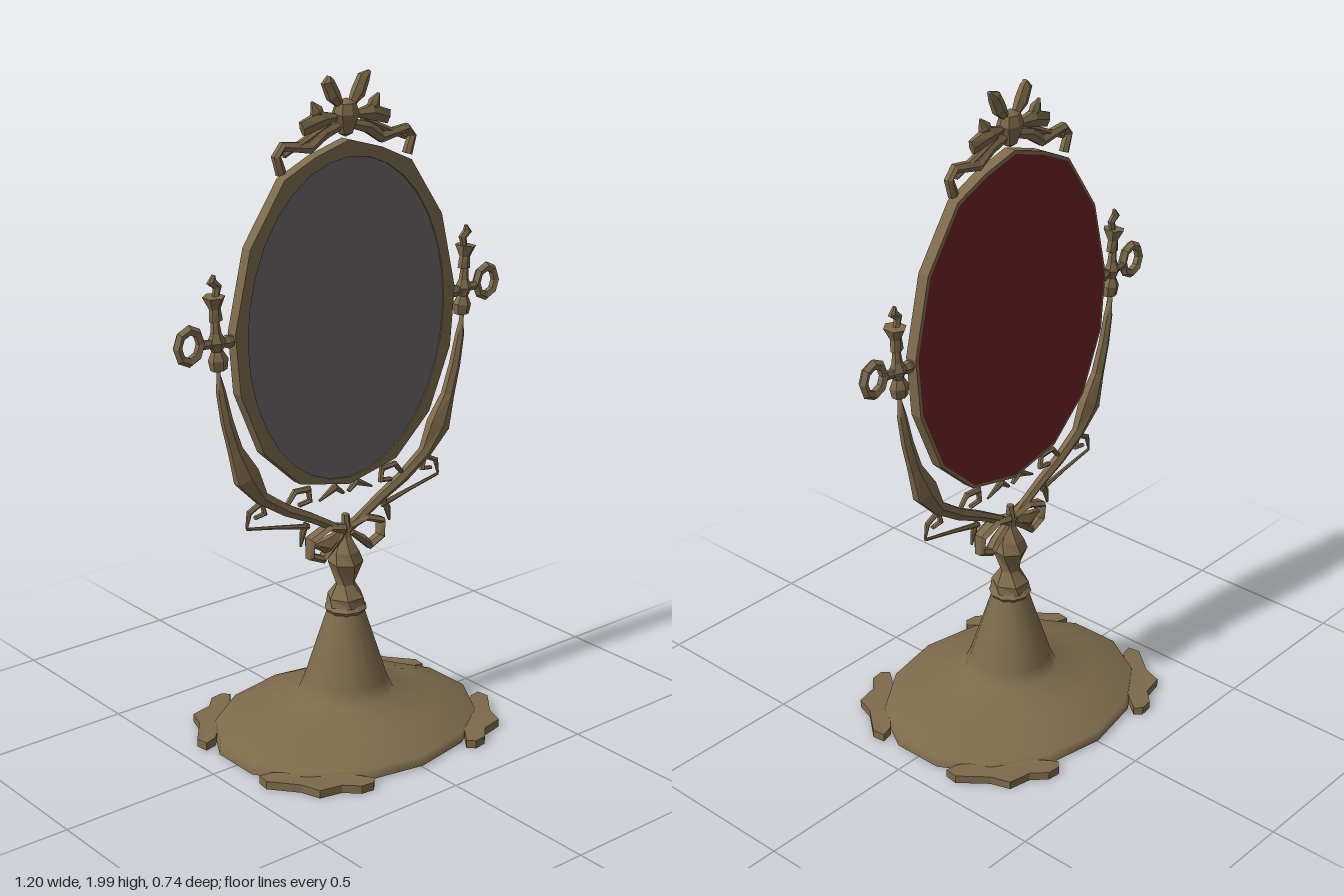
import * as THREE from 'three';

const bronze = new THREE.MeshStandardMaterial({ color: 0x7d6a4b });
bronze.name = 'aged bronze';
const bronzeOpen = new THREE.MeshStandardMaterial({ color: 0x7d6a4b, side: THREE.DoubleSide });
bronzeOpen.name = 'aged bronze';
const glass = new THREE.MeshStandardMaterial({ color: 0x686564 });
glass.name = 'grey glass';
const red = new THREE.MeshStandardMaterial({ color: 0x6a2224 });
red.name = 'dark red backing';

function add(parent, name, geometry, material = bronze) {
  const mesh = new THREE.Mesh(geometry, material);
  mesh.name = name;
  parent.add(mesh);
  return mesh;
}

function flat(geometry) {
  const g = geometry.index ? geometry.toNonIndexed() : geometry;
  g.computeVertexNormals();
  return g;
}

// Faceted bar along a path in the xy plane; each point is [x, y, half width, half depth]
function strip(parent, name, side, points, smooth = 0) {
  let pts = points.map(([x, y, w, d]) => [x * side, y, w, d]);
  if (smooth) {
    const path = new THREE.CatmullRomCurve3(pts.map(p => new THREE.Vector3(p[0], p[1], 0)));
    const size = new THREE.CatmullRomCurve3(pts.map(p => new THREE.Vector3(p[2], p[3], 0)));
    pts = Array.from({ length: smooth + 1 }, (_, i) => {
      const p = path.getPoint(i / smooth), s = size.getPoint(i / smooth);
      return [p.x, p.y, s.x, s.y];
    });
  }
  const pos = [], index = [], n = pts.length;
  pts.forEach(([x, y, w, d], i) => {
    const a = pts[Math.max(i - 1, 0)], b = pts[Math.min(i + 1, n - 1)];
    const t = new THREE.Vector2(b[0] - a[0], b[1] - a[1]).normalize();
    for (const [u, v] of [[1, -0.5], [1, 0.5], [0, 1], [-1, 0.5], [-1, -0.5], [0, -1]])
      pos.push(x - t.y * w * u, y + t.x * w * u, d * v);
    if (i) for (let j = 0; j < 6; j++) {
      const k = (j + 1) % 6, p = (i - 1) * 6, q = i * 6;
      index.push(p + j, p + k, q + k, p + j, q + k, q + j);
    }
  });
  for (let j = 1; j < 5; j++) {
    const e = (n - 1) * 6;
    index.push(0, j + 1, j, e, e + j, e + j + 1);
  }
  const g = new THREE.BufferGeometry();
  g.setAttribute('position', new THREE.Float32BufferAttribute(pos, 3));
  g.setIndex(index);
  return add(parent, name, flat(g));
}

const lathe = (profile, sides) =>
  new THREE.LatheGeometry(profile.map(p => new THREE.Vector2(...p)), sides);

function buildBase(root) {
  const base = new THREE.Group();
  base.name = 'base';
  root.add(base);

  // Hollow flared foot: oval at the rim, round at the neck
  const shell = lathe([[0.43, 0.015], [0.425, 0.045], [0.28, 0.094], [0.145, 0.135],
    [0.125, 0.18], [0.055, 0.4]], 14);
  const p = shell.attributes.position;
  for (let i = 0; i < p.count; i++) {
    const r = Math.hypot(p.getX(i), p.getZ(i));
    p.setZ(i, p.getZ(i) * THREE.MathUtils.mapLinear(THREE.MathUtils.clamp(r, 0.14, 0.42), 0.14, 0.42, 1, 0.83));
  }
  add(base, 'flaredFoot', shell, bronzeOpen);

  // Four leaf shaped feet on the diagonals
  const leaf = [[0.18, 0.35], [0.2, 0.37], [0.24, 0.365], [0.28, 0.325], [0.35, 0.31], [0.37, 0.25],
    [0.435, 0.17], [0.43, 0.13], [0.39, 0.14], [0.33, 0.2], [0.25, 0.26], [0.21, 0.31]];
  for (const sx of [-1, 1]) for (const sz of [-1, 1]) {
    const shape = new THREE.Shape(leaf.map(([x, z]) => new THREE.Vector2(x * sx, z * sz)));
    const g = new THREE.ExtrudeGeometry(shape, { depth: 0.03, bevelEnabled: false });
    g.rotateX(Math.PI / 2).translate(0, 0.04, 0);
    // Lift the inner edge to follow the slope of the foot
    const q = g.attributes.position;
    for (let i = 0; i < q.count; i++)
      if (q.getY(i) > 0.03)
        q.setY(i, 0.035 + 0.12 * Math.max(0, 0.44 - Math.hypot(q.getX(i), q.getZ(i) * 1.2)));
    add(base, 'leafFoot', flat(g));
  }

  // Twisted baluster stem
  add(base, 'collar', flat(lathe([[0, 0.39], [0.055, 0.39], [0.065, 0.405], [0.05, 0.42], [0, 0.42]], 10)));
  const stem = lathe([[0.06, 0.415], [0.058, 0.44], [0.03, 0.48], [0.053, 0.55], [0.042, 0.585],
    [0.018, 0.63], [0.012, 0.7], [0, 0.7]], 6);
  const s = stem.attributes.position;
  for (let i = 0; i < s.count; i++) {
    const a = s.getY(i) * 6, x = s.getX(i), z = s.getZ(i);
    s.setX(i, x * Math.cos(a) - z * Math.sin(a));
    s.setZ(i, x * Math.sin(a) + z * Math.cos(a));
  }
  add(base, 'stem', flat(stem));
}

function buildMirror(root) {
  const mirror = new THREE.Group();
  mirror.name = 'mirror';
  root.add(mirror);
  const half = [[0.12, 1.785], [0.23, 1.735], [0.35, 1.56], [0.405, 1.33], [0.39, 1.15],
    [0.31, 0.96], [0.18, 0.84]];
  const outline = [[0, 1.82], ...half, [0, 0.8], ...half.map(([x, y]) => [-x, y]).reverse()]
    .map(p => new THREE.Vector2(...p));
  const oval = path => path.absellipse(0, 1.297, 0.362, 0.475, 0, Math.PI * 2);

  const rim = new THREE.Shape(outline);
  rim.holes.push(oval(new THREE.Path()));
  const frame = new THREE.ExtrudeGeometry(rim, { depth: 0.036, bevelEnabled: false, curveSegments: 16 });
  add(mirror, 'frame', flat(frame.translate(0, 0, -0.018)));

  add(mirror, 'glass', new THREE.ShapeGeometry(oval(new THREE.Shape()), 24).translate(0, 0, 0.014), glass);
  const back = new THREE.ShapeGeometry(new THREE.Shape(outline));
  back.translate(0, -1.31, 0).scale(0.98, 0.98, 1).rotateY(Math.PI).translate(0, 1.31, -0.02);
  add(mirror, 'backing', back, red);
}

function buildArms(root) {
  for (const s of [-1, 1]) {
    const arm = new THREE.Group();
    arm.name = s > 0 ? 'leftArm' : 'rightArm';
    root.add(arm);
    // Curved support
    strip(arm, 'support', s, [[0, 0.645, 0.012, 0.014], [0.13, 0.72, 0.014, 0.016], [0.31, 0.825, 0.02, 0.018],
      [0.4, 0.99, 0.02, 0.018], [0.445, 1.17, 0.012, 0.014], [0.458, 1.28, 0.012, 0.014]], 10);
    // Upright finial
    strip(arm, 'knob', s, [[0.45, 1.235, 0.022, 0.02], [0.452, 1.265, 0.026, 0.025], [0.455, 1.29, 0.014, 0.016],
      [0.457, 1.315, 0.024, 0.024], [0.458, 1.34, 0.014, 0.014], [0.46, 1.375, 0.01, 0.012]]);
    strip(arm, 'finialCup', s, [[0.457, 1.375, 0.018, 0.015], [0.46, 1.41, 0.014, 0.016], [0.463, 1.445, 0.026, 0.036]]);
    strip(arm, 'finialLeaf', s, [[0.458, 1.44, 0.008, 0.01], [0.45, 1.47, 0.012, 0.01], [0.47, 1.487, 0.014, 0.01],
      [0.462, 1.505, 0.004, 0.006]]);
    // Pivot pin and ring handle
    strip(arm, 'pivotPin', s, [[0.395, 1.31, 0.012, 0.012], [0.42, 1.31, 0.018, 0.016], [0.44, 1.31, 0.011, 0.011],
      [0.505, 1.315, 0.012, 0.012]]);
    const ring = new THREE.TorusGeometry(0.041, 0.014, 5, 8);
    add(arm, 'ringHandle', flat(ring.scale(0.95, 1.1, 1).translate(s * 0.548, 1.32, 0)));
  }
}

function buildScrollwork(root) {
  const work = new THREE.Group();
  work.name = 'scrollwork';
  root.add(work);
  for (const s of [-1, 1]) {
    // Thin sprigs and curls below the frame
    strip(work, 'sprig', s, [[0.365, 0.743, 0.004, 0.004], [0.25, 0.72, 0.005, 0.006], [0.14, 0.695, 0.008, 0.008]]);
    strip(work, 'outerCurl', s, [[0.365, 0.745, 0.003, 0.004], [0.355, 0.79, 0.008, 0.008], [0.31, 0.812, 0.009, 0.01],
      [0.3, 0.775, 0.008, 0.01], [0.335, 0.77, 0.005, 0.008]]);
    strip(work, 'innerCurl', s, [[0.22, 0.78, 0.006, 0.008], [0.19, 0.815, 0.008, 0.01], [0.14, 0.812, 0.01, 0.01],
      [0.135, 0.775, 0.008, 0.01], [0.175, 0.77, 0.006, 0.008]]);
    strip(work, 'centreCurl', s, [[0.01, 0.77, 0.005, 0.008], [0.04, 0.795, 0.012, 0.01], [0.1, 0.765, 0.003, 0.004]]);
    strip(work, 'drop', s, [[0.15, 0.71, 0.006, 0.008], [0.162, 0.68, 0.01, 0.008], [0.17, 0.64, 0.003, 0.004]]);
    // Bow loop at the head of the stem
    strip(work, 'bowLoop', s, [[0.01, 0.66, 0.012, 0.02], [0.07, 0.675, 0.01, 0.025], [0.135, 0.65, 0.01, 0.025],
      [0.135, 0.6, 0.012, 0.02], [0.09, 0.58, 0.012, 0.02], [0.06, 0.61, 0.012, 0.02], [0.02, 0.64, 0.008, 0.015]]);
  }
  strip(work, 'bowLeaf', -1, [[0.125, 0.63, 0.004, 0.01], [0.07, 0.615, 0.028, 0.02], [0.01, 0.645, 0.014, 0.01]]);
}

function buildCrest(root) {
  const crest = new THREE.Group();
  crest.name = 'crest';
  root.add(crest);
  // Bud
  const bud = lathe([[0, 1.825], [0.022, 1.835], [0.044, 1.89], [0.034, 1.92], [0, 1.935]], 8);
  add(crest, 'bud', flat(bud.scale(1, 1, 0.75)));
  for (const s of [-1, 1]) {
    // Scroll running down onto the frame
    strip(crest, 'scroll', s, [[0.02, 1.86, 0.012, 0.012], [0.08, 1.845, 0.018, 0.015], [0.13, 1.81, 0.016, 0.016],
      [0.225, 1.825, 0.012, 0.015], [0.245, 1.8, 0.012, 0.015], [0.228, 1.75, 0.014, 0.014]]);
    strip(crest, 'scrollRib', s, [[0.06, 1.87, 0.008, 0.01], [0.14, 1.835, 0.008, 0.012], [0.22, 1.8, 0.008, 0.01]]);
    // Leaves
    strip(crest, 'upperLeaf', s, [[0.015, 1.91, 0.008, 0.01], [0.045, 1.945, 0.02, 0.018], [0.065, 1.985, 0.018, 0.015],
      [s > 0 ? 0.085 : 0.06, 2, 0.004, 0.008]]);
    strip(crest, 'sideLeaf', s, [[0.03, 1.885, 0.008, 0.01], [0.09, 1.885, 0.022, 0.02], [0.155, 1.865, 0.02, 0.01]]);
    strip(crest, 'leafTip', s, [[0.08, 1.88, 0.008, 0.01], [0.105, 1.91, 0.018, 0.015], [0.12, 1.935, 0.003, 0.005]]);
  }
}

export function createModel() {
  const root = new THREE.Group();
  root.name = 'tableMirror';
  buildBase(root);
  buildMirror(root);
  buildArms(root);
  buildScrollwork(root);
  buildCrest(root);
  return root;
}
